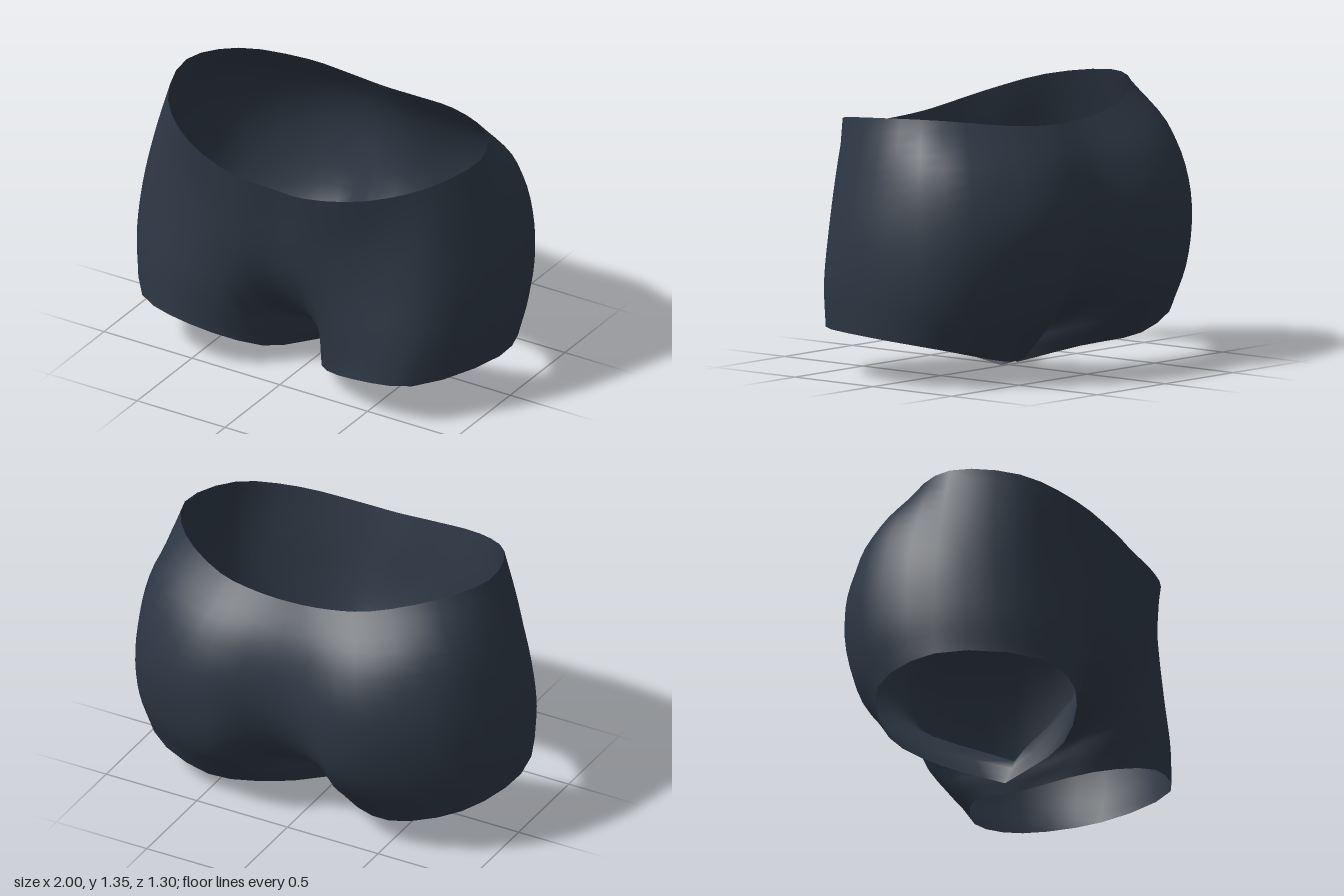
import * as THREE from 'three';
import { mergeVertices } from 'three/addons/utils/BufferGeometryUtils.js';

const V = (x, y, z) => new THREE.Vector3(x, y, z);
const curve = (pts) => new THREE.CatmullRomCurve3(pts);
const mirror = (p) => V(-p.x, p.y, p.z);

// Left half: lines running from the waist down to the leg hem
const crotch = V(0, 0.147, 0.03);
const hemTip = V(0.057, 0.005, 0.01);
const frontSeam = curve([V(0, 1.165, 0.64), V(0, 0.98, 0.6), V(0, 0.78, 0.565), V(0, 0.57, 0.5), V(0, 0.33, 0.33), crotch]);
const backSeam = curve([V(0, 1.23, -0.415), V(0, 1.03, -0.53), V(0, 0.82, -0.58), V(0, 0.58, -0.55), V(0, 0.33, -0.39), crotch]);
const innerFront = curve([V(0.2, 1.17, 0.64), V(0.21, 0.92, 0.6), V(0.22, 0.65, 0.555), V(0.22, 0.38, 0.49), V(0.17, 0.1, 0.37)]);
const thighFront = curve([V(0.5, 1.22, 0.565), V(0.5, 0.95, 0.535), V(0.51, 0.7, 0.54), V(0.51, 0.45, 0.56), V(0.47, 0.215, 0.565)]);
const hipFront = curve([V(0.74, 1.285, 0.38), V(0.79, 1.03, 0.4), V(0.82, 0.75, 0.43), V(0.82, 0.48, 0.47), V(0.77, 0.25, 0.51)]);
const side = curve([V(0.84, 1.325, 0.05), V(0.92, 1.04, 0.05), V(0.985, 0.76, 0.05), V(0.997, 0.5, 0.05), V(0.98, 0.27, 0.05)]);
const hipBack = curve([V(0.7, 1.315, -0.2), V(0.83, 1.08, -0.33), V(0.89, 0.78, -0.38), V(0.9, 0.47, -0.36), V(0.85, 0.22, -0.31)]);
const outerBack = curve([V(0.41, 1.265, -0.375), V(0.52, 1.03, -0.55), V(0.56, 0.77, -0.625), V(0.55, 0.4, -0.56), V(0.5, 0.125, -0.405)]);
const innerBack = curve([V(0.2, 1.24, -0.41), V(0.25, 1.02, -0.57), V(0.27, 0.78, -0.648), V(0.27, 0.42, -0.59), V(0.2, 0.09, -0.27)]);
const panels = [innerFront, thighFront, hipFront, side, hipBack, outerBack, innerBack];

// Seams reach the crotch at 5/6 of the way, then drop to the tip of the hem
const SPLIT = 5 / 6;
function seamPoint(seam, t) {
  if (t < SPLIT - 1e-6) return seam.getPoint(t / SPLIT);
  return crotch.clone().lerp(hemTip, (t - SPLIT) / (1 - SPLIT));
}

// One half ring from front seam, round the outside, to back seam
function halfRing(t, cols) {
  const pts = [seamPoint(frontSeam, t), ...panels.map((c) => c.getPoint(t)), seamPoint(backSeam, t)];
  const n = pts.length - 1;
  const torso = t <= SPLIT + 1e-6;
  const lead = torso ? 1 : 0;
  // mirrored neighbours keep the surface smooth across the centre
  const ring = curve(torso ? [mirror(pts[1]), ...pts, mirror(pts[n - 1])] : pts);
  const out = [];
  for (let i = 0; i <= cols; i++) {
    if (i === 0) out.push(pts[0]);
    else if (i === cols) out.push(pts[n]);
    else out.push(ring.getPoint((lead + (i / cols) * n) / (n + 2 * lead)));
  }
  return out;
}

function shortsGeometry(rows = 18, cols = 24) {
  const positions = [];
  const index = [];
  for (const s of [1, -1]) {
    const base = positions.length / 3;
    for (let r = 0; r <= rows; r++) {
      for (const p of halfRing(r / rows, cols)) positions.push(s * p.x, p.y, p.z);
    }
    for (let r = 0; r < rows; r++) {
      for (let c = 0; c < cols; c++) {
        const a = base + r * (cols + 1) + c;
        const b = a + 1;
        const d = a + cols + 1;
        const e = d + 1;
        if (s > 0) index.push(a, d, b, b, d, e);
        else index.push(a, b, d, b, e, d);
      }
    }
  }
  const geo = new THREE.BufferGeometry();
  geo.setAttribute('position', new THREE.Float32BufferAttribute(positions, 3));
  geo.setIndex(index);
  const merged = mergeVertices(geo, 1e-4);
  merged.computeVertexNormals();
  return merged;
}

export function createModel() {
  const group = new THREE.Group();
  group.name = 'shorts';
  const fabric = new THREE.MeshStandardMaterial({ color: 0x2d3744, side: THREE.DoubleSide });
  fabric.name = 'dark slate fabric';
  const shorts = new THREE.Mesh(shortsGeometry(), fabric);
  shorts.name = 'shortsFabric';
  // slight sideways lean of the hips
  shorts.rotation.z = -0.035;
  shorts.position.x = -0.016;
  group.add(shorts);
  return group;
}
